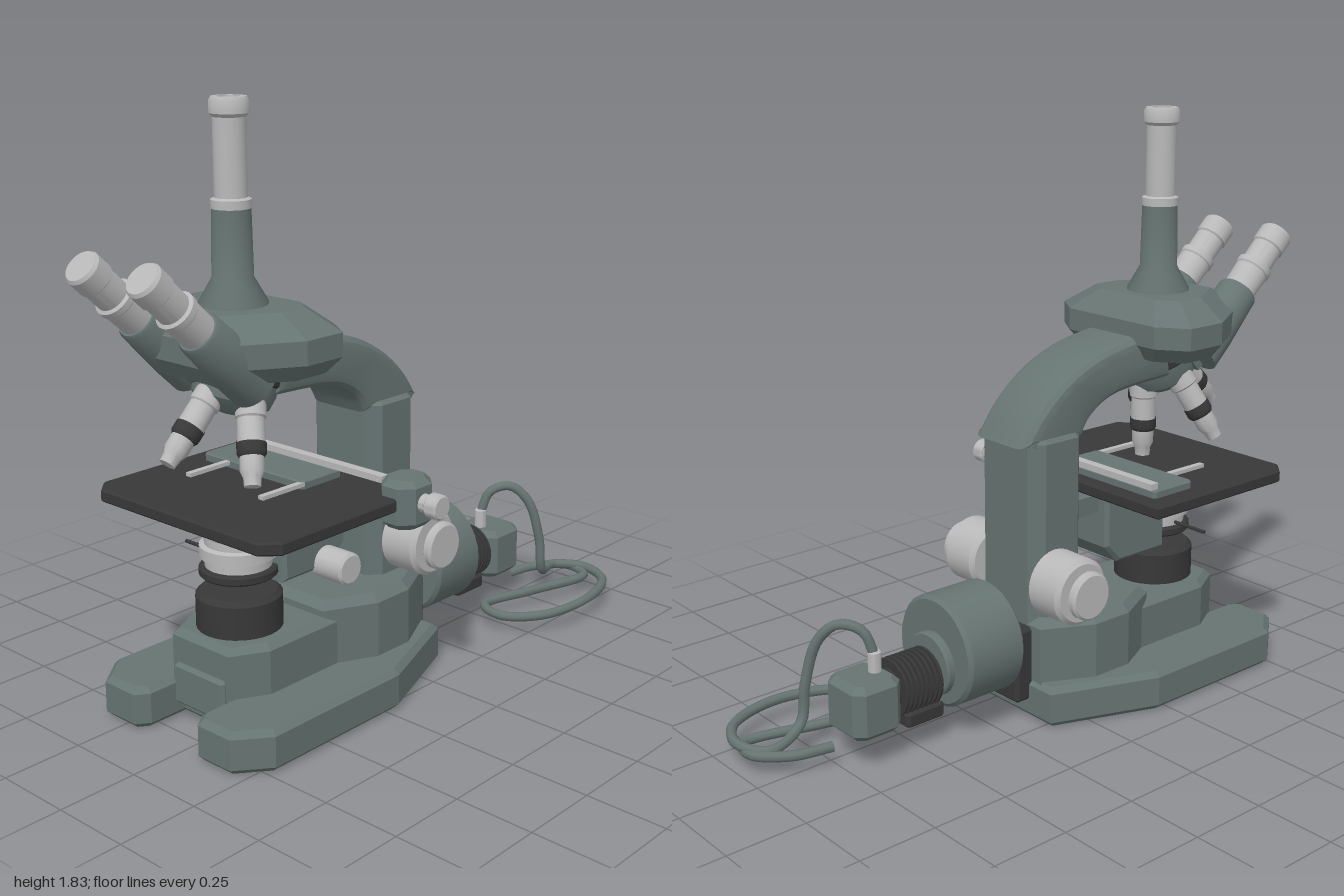
import * as THREE from 'three';
import { toCreasedNormals } from 'three/addons/utils/BufferGeometryUtils.js';

const paint = (name, color) => Object.assign(new THREE.MeshStandardMaterial({ color }), { name });

export function createModel() {
  const enamel = paint('grey green enamel', 0x667472);
  const metal = paint('light metal', 0xb9b9b9);
  const black = paint('black', 0x383838);

  const model = new THREE.Group();
  model.name = 'microscope';
  // Everything is symmetric about the optical plane, which sits left of the origin
  const body = new THREE.Group();
  body.name = 'body';
  body.position.x = -0.06;
  model.add(body);

  const add = (name, geo, mat, parent = body) => {
    const mesh = new THREE.Mesh(geo, mat);
    mesh.name = name;
    parent.add(mesh);
    return mesh;
  };

  // Turned part: profile of [radius, height], bottom to top
  const turned = (name, mat, profile, parent = body, seg = 28) => add(name, toCreasedNormals(
    new THREE.LatheGeometry(profile.map(([r, y]) => new THREE.Vector2(r, y)), seg), 0.6), mat, parent);
  const rod = (name, mat, r, a, b, bev = 0.006, parent = body) => turned(name, mat,
    [[0, a], [r - bev, a], [r, a + bev], [r, b - bev], [r - bev, b], [0, b]], parent);
  const alongX = (mesh, y, z) => { mesh.rotation.z = -Math.PI / 2; mesh.position.set(0, y, z); return mesh; };
  const alongZ = (mesh, y) => { mesh.rotation.x = Math.PI / 2; mesh.position.set(0, y, 0); return mesh; };

  // Bevelled extrusion whose outer size matches the outline
  const extrude = (shape, depth, bev, segs = 1, curveSegments = 4) => new THREE.ExtrudeGeometry(shape, {
    depth: depth - 2 * bev, bevelThickness: bev, bevelSize: bev, bevelOffset: -bev, bevelSegments: segs, curveSegments,
  }).translate(0, 0, bev);
  // Upright prism from a plan outline of [x, z]
  const prism = (name, mat, plan, y0, y1, bev = 0.015) => {
    const shape = new THREE.Shape(plan.map(([x, z]) => new THREE.Vector2(x, -z)));
    return add(name, extrude(shape, y1 - y0, bev).rotateX(-Math.PI / 2).translate(0, y0, 0), mat);
  };
  const mirrored = (half) => [...half, ...half.map(([x, z]) => [-x, z]).reverse()];
  // Plan rectangle with cut corners
  const cutRect = (x0, x1, z0, z1, c) => [[x0 + c, z0], [x1 - c, z0], [x1, z0 + c], [x1, z1 - c],
    [x1 - c, z1], [x0 + c, z1], [x0, z1 - c], [x0, z0 + c]];

  // Foot with a notch between two toes
  prism('base', enamel, mirrored([[0.22, -0.13], [0.35, 0.21], [0.35, 0.73], [0.27, 0.83],
    [0.14, 0.83], [0.11, 0.79], [0.11, 0.66]]), 0, 0.13, 0.018);
  prism('basePlate', enamel, cutRect(-0.107, 0.107, 0.5, 0.705, 0.01), 0.055, 0.185, 0.01);
  prism('baseFrontBlock', enamel, mirrored([[0.18, 0.2], [0.18, 0.58], [0.12, 0.69]]), 0.1, 0.285, 0.02);
  prism('baseRearBlock', enamel, mirrored([[0.16, -0.12], [0.24, 0.04], [0.24, 0.18], [0.16, 0.34]]), 0.1, 0.33, 0.025);
  rod('fieldLens', black, 0.13, 0.27, 0.4, 0.015).position.z = 0.53;

  // Pillar and curved arm
  prism('pillar', enamel, cutRect(-0.14, 0.14, -0.12, 0.09, 0.04), 0.28, 0.89, 0.01);
  const V = (x, y) => new THREE.Vector2(x, y);
  const armShape = new THREE.Shape();
  armShape.moveTo(0.48, 1.1);
  armShape.lineTo(0.36, 1.15);
  armShape.splineThru([V(0.17, 1.115), V(0.03, 1.055), V(-0.08, 0.965), V(-0.15, 0.87)]);
  armShape.lineTo(0.095, 0.86);
  armShape.splineThru([V(0.14, 0.925), V(0.25, 0.975), V(0.48, 0.99)]);
  add('arm', toCreasedNormals(extrude(armShape, 0.24, 0.035, 3, 3)
    .rotateY(-Math.PI / 2).translate(0.12, 0, 0), 0.5), enamel);

  // Prism head: one outline scaled at several heights
  const plan = [[0.285, 0.38], [0.285, 0.52], [0.15, 0.74], [-0.15, 0.74],
    [-0.285, 0.52], [-0.285, 0.38], [-0.19, 0.315], [0.19, 0.315]];
  const rings = [[1.07, 0.84], [1.12, 1], [1.19, 1], [1.255, 0.66]].map(([y, s]) =>
    plan.map(([x, z]) => [x * s, y, 0.525 + (z - 0.525) * s]));
  const pos = [];
  const n = plan.length;
  for (let i = 0; i < n; i++) {
    const j = (i + 1) % n;
    for (let k = 0; k < rings.length - 1; k++) {
      const [lo, hi] = [rings[k], rings[k + 1]];
      pos.push(...lo[i], ...hi[i], ...lo[j], ...lo[j], ...hi[i], ...hi[j]);
    }
    pos.push(0, 1.07, 0.525, ...rings[0][i], ...rings[0][j]);
    pos.push(0, 1.255, 0.525, ...rings[3][j], ...rings[3][i]);
  }
  const headGeo = new THREE.BufferGeometry();
  headGeo.setAttribute('position', new THREE.Float32BufferAttribute(pos, 3));
  headGeo.computeVertexNormals();
  add('head', headGeo, enamel);

  // Upright camera tube
  const cameraTube = new THREE.Group();
  cameraTube.name = 'cameraTube';
  cameraTube.position.z = 0.525;
  body.add(cameraTube);
  turned('tubeSocket', enamel, [[0.1, 1.24], [0.1, 1.26], [0.06, 1.33], [0.056, 1.53], [0, 1.53]], cameraTube);
  turned('tubeBarrel', metal, [[0.058, 1.525], [0.058, 1.55], [0.047, 1.555], [0.047, 1.775], [0.056, 1.785],
    [0.056, 1.82], [0.05, 1.83], [0.032, 1.83], [0.03, 1.8]], cameraTube);
  rod('tubeOpening', black, 0.033, 1.78, 1.805, 0.002, cameraTube);

  // Pair of inclined eyepieces
  for (const side of [-1, 1]) {
    const eyepiece = new THREE.Group();
    eyepiece.name = side > 0 ? 'leftEyepiece' : 'rightEyepiece';
    eyepiece.position.set(side * 0.125, 1.065, 0.59);
    eyepiece.rotation.x = THREE.MathUtils.degToRad(47);
    body.add(eyepiece);
    turned('eyepieceSocket', enamel, [[0, -0.02], [0.075, -0.02], [0.075, 0.07], [0.066, 0.24], [0.06, 0.25], [0, 0.25]], eyepiece);
    turned('eyepieceBarrel', metal, [[0.054, 0.24], [0.056, 0.33], [0.06, 0.335], [0.06, 0.355], [0.05, 0.36],
      [0.05, 0.43], [0.055, 0.435], [0.055, 0.49], [0.048, 0.5], [0, 0.5]], eyepiece);
  }
  const bridge = add('eyepieceBridge', new THREE.BoxGeometry(0.25, 0.11, 0.1), enamel);
  bridge.position.set(0, 1.07, 0.6);
  bridge.rotation.x = THREE.MathUtils.degToRad(47);

  // Tilted nosepiece with four objectives spread on a cone
  const apex = new THREE.Vector3(0, 1.16, 0.47);
  const up = new THREE.Vector3(0, 1, 0);
  const tilt = Math.PI / 8;
  const axis = new THREE.Vector3(0, -Math.cos(tilt), Math.sin(tilt));
  const aim = (obj, dir) => { obj.position.copy(apex); obj.quaternion.setFromUnitVectors(up, dir); };
  aim(turned('nosepiece', enamel, [[0, 0.08], [0.12, 0.08], [0.125, 0.16], [0.115, 0.2], [0.07, 0.235], [0, 0.24]]), axis);
  aim(rod('nosepieceRing', black, 0.13, 0.1, 0.135), axis);
  const across = new THREE.Vector3(0, Math.sin(tilt), Math.cos(tilt));
  for (let i = 0; i < 4; i++) {
    const a = i * Math.PI / 2;
    const dir = axis.clone().multiplyScalar(Math.cos(tilt))
      .addScaledVector(across, Math.sin(tilt) * Math.cos(a))
      .addScaledVector(new THREE.Vector3(1, 0, 0), Math.sin(tilt) * Math.sin(a)).normalize();
    const objective = new THREE.Group();
    objective.name = 'objective' + (i + 1);
    aim(objective, dir);
    body.add(objective);
    turned('objectiveBarrel', metal, [[0.045, 0.19], [0.045, 0.25], [0.04, 0.255], [0.04, 0.33]], objective, 20);
    turned('objectiveBand', black, [[0, 0.325], [0.043, 0.325], [0.043, 0.355], [0.037, 0.365], [0, 0.365]], objective, 20);
    turned('objectiveTip', metal, [[0.035, 0.36], [0.035, 0.405], [0.026, 0.425], [0.024, 0.45], [0, 0.45]], objective, 20);
  }

  // Stage, its bracket and the specimen holder
  prism('stage', black, [[-0.375, 0.16], [0.38, 0.16], [0.38, 0.72], [0.33, 0.77], [-0.325, 0.77], [-0.375, 0.72]], 0.65, 0.69, 0.006);
  const bracketShape = new THREE.Shape([V(0.46, 0.42), V(0.25, 0.42), V(0.195, 0.48), V(0.195, 0.655), V(0.46, 0.655)]);
  add('stageBracket', extrude(bracketShape, 0.24, 0.012).rotateY(-Math.PI / 2).translate(0.12, 0, 0), enamel);
  add('stageSlide', new THREE.BoxGeometry(0.16, 0.06, 0.14), enamel).position.set(0, 0.62, 0.14);
  prism('holderPlate', enamel, cutRect(-0.31, 0.12, 0.21, 0.38, 0.01), 0.685, 0.715, 0.005);
  add('holderRail', new THREE.BoxGeometry(0.6, 0.02, 0.03), metal).position.set(0, 0.725, 0.22);
  for (const x of [-0.2, 0.11])
    add('specimenClip', new THREE.BoxGeometry(0.02, 0.012, 0.17), metal).position.set(x, 0.705, 0.455);
  prism('holderDriveBox', enamel, cutRect(0.285, 0.42, 0.11, 0.26, 0.04), 0.59, 0.74, 0.02);
  alongX(rod('holderKnob', metal, 0.038, 0.445, 0.49), 0.67, 0.185);
  alongX(rod('holderKnobInner', metal, 0.028, 0.41, 0.45), 0.67, 0.185);
  alongX(rod('condenserKnob', metal, 0.05, 0.1, 0.225, 0.008), 0.44, 0.285);

  // Condenser under the stage
  const condenser = new THREE.Group();
  condenser.name = 'condenser';
  condenser.position.z = 0.53;
  body.add(condenser);
  turned('condenserBody', metal, [[0, 0.47], [0.1, 0.47], [0.1, 0.5], [0.115, 0.505], [0.115, 0.54], [0.1, 0.545],
    [0.1, 0.57], [0.108, 0.575], [0.108, 0.6], [0.09, 0.605], [0.08, 0.625], [0, 0.625]], condenser);
  rod('condenserDiaphragm', black, 0.118, 0.445, 0.475, 0.006, condenser);
  const lever = add('diaphragmLever', new THREE.CylinderGeometry(0.006, 0.006, 0.14, 8), black, condenser);
  lever.rotation.z = Math.PI / 2;
  lever.position.set(-0.16, 0.485, 0);

  // Coarse and fine focus knobs
  for (const side of [-1, 1]) {
    const knob = new THREE.Group();
    knob.name = side > 0 ? 'leftFocusKnob' : 'rightFocusKnob';
    knob.rotation.z = -side * Math.PI / 2;
    knob.position.set(0, 0.44, -0.048);
    body.add(knob);
    rod('coarseKnob', metal, 0.105, 0.13, 0.27, 0.014, knob);
    rod('fineShaft', metal, 0.05, 0.26, 0.29, 0.004, knob);
    rod('fineKnob', metal, 0.075, 0.28, 0.312, 0.008, knob);
  }

  // Lamp house behind the pillar
  prism('lampMount', black, cutRect(-0.12, 0.12, -0.18, -0.1, 0.01), 0.06, 0.3, 0.01);
  alongZ(rod('lampNeck', enamel, 0.1, -0.43, -0.15), 0.23);
  alongZ(rod('lampDrum', enamel, 0.175, -0.405, -0.19, 0.012), 0.265);
  alongZ(rod('lampCore', black, 0.06, -0.6, -0.42), 0.2);
  for (let i = 0; i < 8; i++) {
    const z = -0.44 - i * 0.018;
    alongZ(rod('coolingFin', black, 0.09, z - 0.008, z, 0.001), 0.2);
  }
  prism('lampFoot', black, cutRect(-0.07, 0.07, -0.56, -0.42, 0.01), 0.085, 0.13, 0.006);
  prism('lampSocket', enamel, cutRect(-0.09, 0.09, -0.75, -0.58, 0.03), 0.1, 0.27, 0.02);
  rod('cablePlug', metal, 0.02, 0.26, 0.335, 0.005).position.z = -0.625;

  // Mains cable, coiled on the table
  const path = [[0, 0.32, -0.625], [0.02, 0.395, -0.65], [0.07, 0.415, -0.7], [0.12, 0.36, -0.74], [0.15, 0.22, -0.77],
    [0.15, 0.1, -0.79], [0.11, 0.07, -0.92], [0.2, 0.07, -0.972], [0.32, 0.07, -0.92], [0.382, 0.07, -0.74],
    [0.34, 0.06, -0.54], [0.23, 0.055, -0.45], [0.13, 0.055, -0.49], [0.18, 0.055, -0.7], [0.23, 0.055, -0.94],
    [0.14, 0.06, -0.965], [0.06, 0.06, -0.88], [0.03, 0.06, -0.76]].map((p) => new THREE.Vector3(...p));
  add('cable', new THREE.TubeGeometry(new THREE.CatmullRomCurve3(path), 110, 0.016, 8), enamel);

  return model;
}
